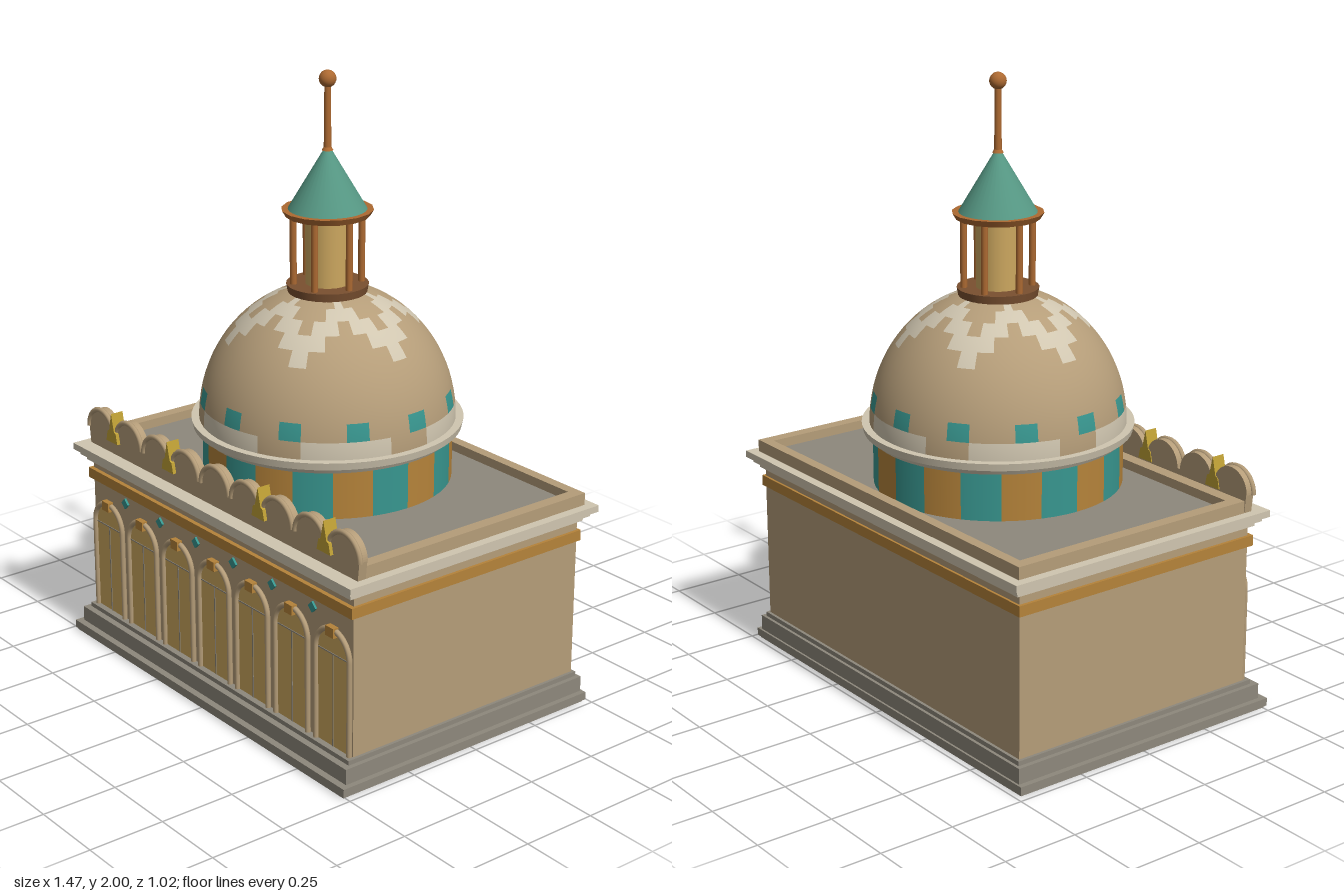
import * as THREE from 'three';

const mat = (name, color) => {
  const m = new THREE.MeshStandardMaterial({ color });
  m.name = name;
  return m;
};

export function createModel() {
  const sand = mat('sandstone', 0xb59d79);
  const cream = mat('cream stone', 0xd0c6b0);
  const grey = mat('grey stone', 0x8e887c);
  const gold = mat('pale gold', 0xcca75f);
  const ochre = mat('ochre', 0xb5833a);
  const teal = mat('teal tile', 0x38968f);
  const green = mat('green copper', 0x569884);
  const copper = mat('copper', 0xad6a32);
  const bronze = mat('dark bronze', 0x7a5030);
  const yellow = mat('yellow gold', 0xbfa035);

  const model = new THREE.Group();
  const add = (name, geo, material, x = 0, y = 0, z = 0, parent = model) => {
    const mesh = new THREE.Mesh(geo, material);
    mesh.name = name;
    mesh.position.set(x, y, z);
    parent.add(mesh);
    return mesh;
  };
  // box given by its half width and its y and z limits
  const slab = (name, material, hx, y0, y1, z0, z1) =>
    add(name, new THREE.BoxGeometry(hx * 2, y1 - y0, z1 - z0), material, 0, (y0 + y1) / 2, (z0 + z1) / 2);
  const drum = (r0, r1, h, n = 32) => new THREE.CylinderGeometry(r1, r0, h, n);

  // plinth, walls, band and cornice
  slab('plinthFoot', grey, 0.725, 0, 0.008, -0.48, 0.505);
  slab('plinthBase', grey, 0.733, 0.008, 0.034, -0.487, 0.51);
  slab('plinthStep', grey, 0.715, 0.034, 0.085, -0.48, 0.487);
  slab('plinthTop', grey, 0.7, 0.085, 0.1, -0.47, 0.465);
  slab('walls', sand, 0.69, 0.1, 0.63, -0.46, 0.44);
  slab('goldBand', ochre, 0.7, 0.56, 0.595, -0.468, 0.455);
  slab('corniceLower', cream, 0.7, 0.625, 0.642, -0.475, 0.46);
  slab('corniceMiddle', cream, 0.717, 0.642, 0.658, -0.49, 0.475);
  slab('corniceTop', cream, 0.735, 0.658, 0.68, -0.507, 0.49);

  // roof deck and low parapet frame
  slab('roofDeck', grey, 0.67, 0.68, 0.69, -0.445, 0.37);
  slab('parapetBack', sand, 0.705, 0.68, 0.72, -0.475, -0.44);
  slab('parapetFront', sand, 0.705, 0.68, 0.72, 0.365, 0.41);
  for (const s of [-1, 1]) {
    add('parapetSide', new THREE.BoxGeometry(0.04, 0.04, 0.805), sand, s * 0.685, 0.7, -0.0375);
  }

  // scalloped front crest
  const crest = new THREE.Shape();
  crest.moveTo(-0.705, 0.68);
  crest.lineTo(0.705, 0.68);
  crest.lineTo(0.712, 0.74);
  for (let k = 4; k >= -4; k--) crest.absarc(k * 0.16, 0.74, 0.074, 0, Math.PI, false);
  crest.lineTo(-0.712, 0.74);
  add('crestWall', new THREE.ExtrudeGeometry(crest, { depth: 0.03, bevelEnabled: false, curveSegments: 16 }), sand, 0, 0, 0.408);
  for (let k = -4; k <= 4; k++) {
    add('crestRim', new THREE.TorusGeometry(0.073, 0.009, 8, 20, Math.PI), sand, k * 0.16, 0.738, 0.436);
  }

  // pointed ornaments in the crest valleys
  const leaf = new THREE.Shape();
  [[-0.032, 0], [0.032, 0], [0.024, 0.035], [0.014, 0.04], [0, 0.1], [-0.014, 0.04], [-0.024, 0.035]]
    .forEach(([x, y], i) => (i ? leaf.lineTo(x, y) : leaf.moveTo(x, y)));
  const leafGeo = new THREE.ExtrudeGeometry(leaf, { depth: 0.045, bevelEnabled: false });
  for (const x of [-0.56, -0.24, 0.24, 0.56]) add('crestOrnament', leafGeo, yellow, x, 0.725, 0.405);

  // arcade of seven framed arches
  const opening = new THREE.Shape();
  opening.moveTo(-0.078, 0.1);
  opening.lineTo(0.078, 0.1);
  opening.absarc(0, 0.41, 0.078, 0, Math.PI, false);
  const openingGeo = new THREE.ExtrudeGeometry(opening, { depth: 0.004, bevelEnabled: false, curveSegments: 16 });
  const rimGeo = new THREE.TorusGeometry(0.08, 0.009, 8, 24, Math.PI);
  const postGeo = new THREE.CylinderGeometry(0.009, 0.009, 0.31, 8);
  for (let k = -3; k <= 3; k++) {
    const arch = new THREE.Group();
    arch.name = 'arch';
    arch.position.set(k * 0.2, 0, 0.44);
    model.add(arch);
    add('archPanel', openingGeo, gold, 0, 0, 0, arch);
    add('archRim', rimGeo, sand, 0, 0.41, 0.007, arch);
    for (const s of [-1, 1]) add('archPost', postGeo, sand, s * 0.08, 0.255, 0.007, arch);
    add('mullion', new THREE.BoxGeometry(0.004, 0.31, 0.006), grey, 0, 0.255, 0.003, arch);
    add('transom', new THREE.BoxGeometry(0.15, 0.004, 0.006), grey, 0, 0.408, 0.003, arch);
    add('keystone', new THREE.BoxGeometry(0.038, 0.032, 0.022), ochre, 0, 0.485, 0.009, arch);
  }
  for (let k = -2.5; k <= 2.5; k++) {
    const tile = add('diamondTile', new THREE.BoxGeometry(0.026, 0.026, 0.009), teal, k * 0.2, 0.525, 0.443);
    tile.rotation.z = Math.PI / 4;
  }

  // everything round stands on the tower axis
  const tower = new THREE.Group();
  tower.name = 'domeTower';
  tower.position.z = -0.01;
  model.add(tower);

  // drum with twenty alternating panels
  const drumGeo = new THREE.CylinderGeometry(0.4, 0.4, 0.16, 60, 1, true);
  drumGeo.clearGroups();
  for (let j = 0; j < 20; j++) drumGeo.addGroup(j * 18, 18, j % 2);
  add('drum', drumGeo, [teal, ochre], 0, 0.77, 0, tower);

  // ring moulding under the dome
  add('domeRingLower', drum(0.405, 0.417, 0.02, 64), cream, 0, 0.853, 0, tower);
  add('domeRingUpper', drum(0.43, 0.435, 0.024, 64), cream, 0, 0.875, 0, tower);

  // tiled dome: 36 by 12 cells, two quads each way per cell
  const domeGeo = new THREE.SphereGeometry(1, 72, 24, 0, Math.PI * 2, 0, Math.PI / 2);
  domeGeo.scale(0.41, 0.435, 0.41);
  domeGeo.clearGroups();
  const cellColour = (i, row) => {
    const m = (i + 36) % 6;
    if (row === 0) return (m + 2) % 6 < 4 ? 1 : 0;
    if (row === 1) return m % 3 === 0 ? 2 : 0;
    const start = 5 + Math.abs(m - 3); // zigzag star around the crown
    return row === start || row === start + 1 ? 1 : 0;
  };
  let first = 0;
  for (let r = 0; r < 24; r++) {
    for (let j = 0; j < 72; j++) {
      const count = r === 0 ? 3 : 6;
      domeGeo.addGroup(first, count, cellColour(Math.floor(j / 2) - 9, 11 - Math.floor(r / 2)));
      first += count;
    }
  }
  add('dome', domeGeo, [sand, cream, teal], 0, 0.885, 0, tower);

  // lantern
  add('lanternBase', drum(0.125, 0.13, 0.028), bronze, 0, 1.311, 0, tower);
  add('lanternCore', drum(0.07, 0.07, 0.23, 24), gold, 0, 1.435, 0, tower);
  for (let k = 0; k < 6; k++) {
    const a = (k * Math.PI) / 3;
    add('lanternColumn', drum(0.011, 0.011, 0.23, 8), copper, Math.cos(a) * 0.108, 1.435, Math.sin(a) * 0.108, tower);
  }
  add('lanternEave', drum(0.133, 0.145, 0.02, 16), copper, 0, 1.555, 0, tower);

  // spire and finial
  add('spire', drum(0.124, 0.008, 0.195), green, 0, 1.662, 0, tower);
  add('spireCap', drum(0.018, 0.01, 0.014, 16), copper, 0, 1.757, 0, tower);
  add('finialRod', drum(0.012, 0.01, 0.2, 12), copper, 0, 1.86, 0, tower);
  add('finialBall', new THREE.SphereGeometry(0.027, 20, 14), copper, 0, 1.973, 0, tower);

  return model;
}
